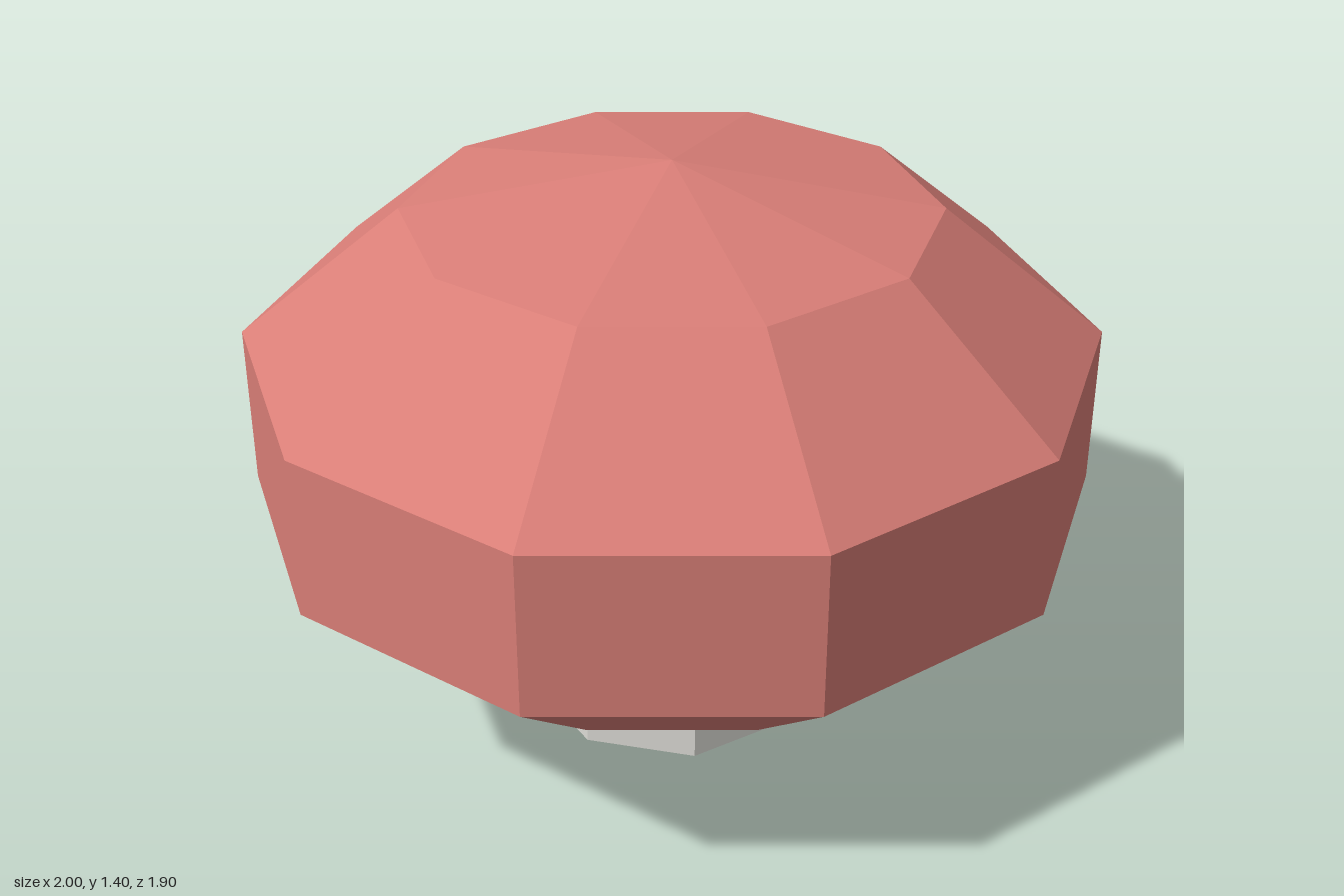
import * as THREE from 'three';

// Split shared vertices so every facet gets its own flat normal
function faceted(geometry) {
  const flat = geometry.toNonIndexed();
  flat.computeVertexNormals();
  return flat;
}

export function createModel() {
  const group = new THREE.Group();
  group.name = 'mushroom';

  const capRed = new THREE.MeshStandardMaterial({ color: 0xd97e77 });
  capRed.name = 'cap red';
  const stemGrey = new THREE.MeshStandardMaterial({ color: 0xdcdbd5 });
  stemGrey.name = 'stem grey';

  // Ten-sided cap, symmetric above and below its upright band
  const profile = [
    [0, 0.15], [0.618, 0.265], [1, 0.58], [1, 0.97], [0.618, 1.283], [0, 1.4],
  ].map(([r, y]) => new THREE.Vector2(r, y));
  const cap = new THREE.Mesh(
    faceted(new THREE.LatheGeometry(profile, 10, Math.PI / 2)), capRed);
  cap.name = 'cap';
  group.add(cap);

  // Short eight-sided stem, its top sunk into the cap
  const stemHeight = 0.25;
  const stem = new THREE.Mesh(
    faceted(new THREE.CylinderGeometry(0.35, 0.35, stemHeight, 8)), stemGrey);
  stem.name = 'stem';
  stem.position.y = stemHeight / 2;
  group.add(stem);

  return group;
}
